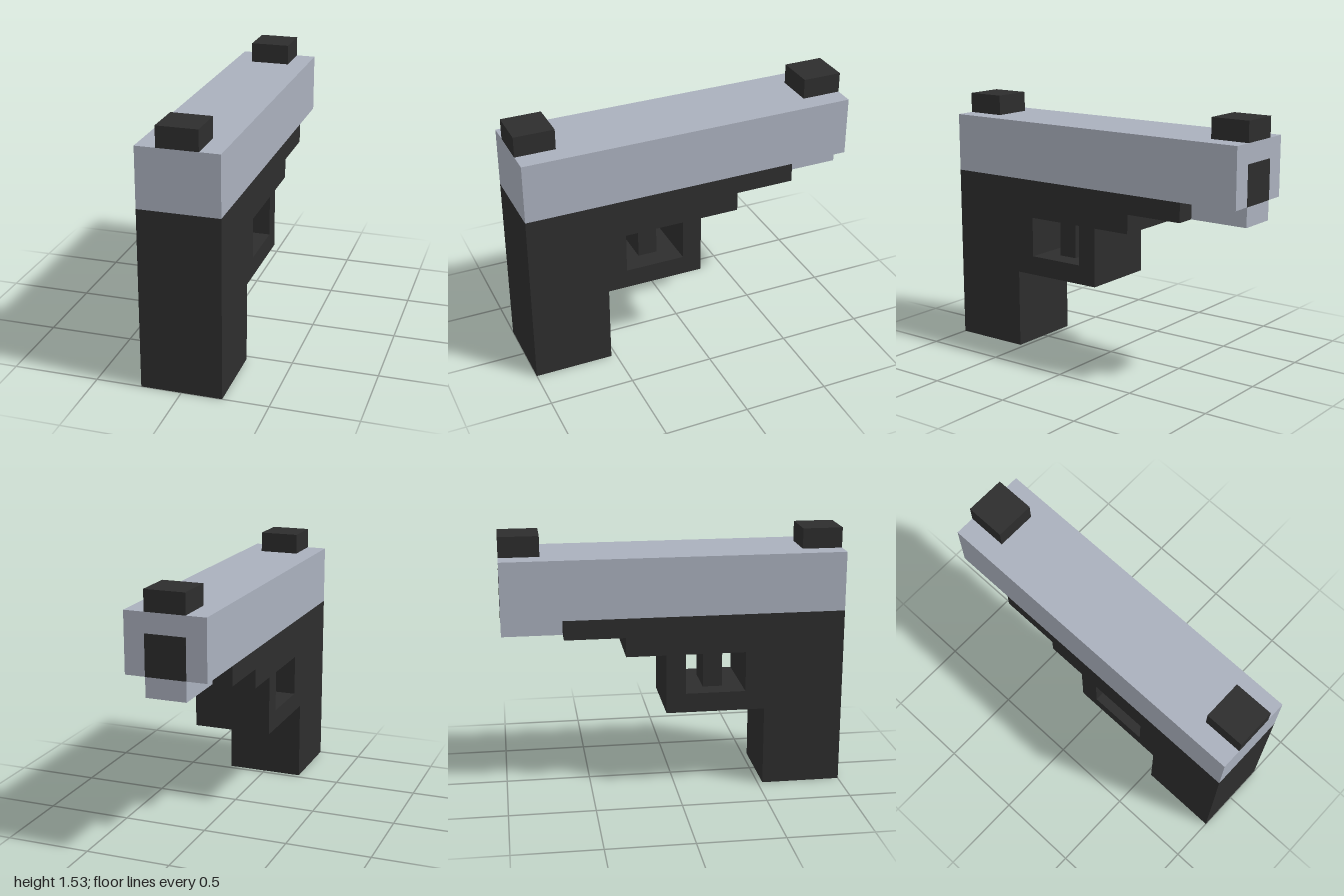
import * as THREE from 'three';

const HALF = 0.235; // half width of the body
const SLIM = 0.1175; // half width of the narrow parts

export function createModel() {
  const model = new THREE.Group();
  const black = new THREE.MeshStandardMaterial({ color: 0x2d2d2d });
  black.name = 'black';
  const grey = new THREE.MeshStandardMaterial({ color: 0xaab0bd });
  grey.name = 'steel grey';

  function add(name, geometry, material) {
    const mesh = new THREE.Mesh(geometry, material);
    mesh.name = name;
    model.add(mesh);
    return mesh;
  }

  // Box given by its half width in x and its limits in y and z
  function block(name, half, y0, y1, z0, z1, material) {
    const geometry = new THREE.BoxGeometry(half * 2, y1 - y0, z1 - z0);
    geometry.translate(0, (y0 + y1) / 2, (z0 + z1) / 2);
    return add(name, geometry, material);
  }

  const points = (list) => list.map(([z, y]) => new THREE.Vector2(z, y));

  // Frame: grip, stepped underside and trigger guard, drawn in (z, y)
  const profile = new THREE.Shape(points([
    [1, 0], [1, 1.06], [-0.645, 1.06], [-0.645, 0.945], [-0.29, 0.945],
    [-0.29, 0.83], [-0.055, 0.83], [-0.055, 0.475], [0.53, 0.475], [0.53, 0],
  ]));
  profile.holes.push(new THREE.Path(points([
    [0.06, 0.59], [0.415, 0.59], [0.415, 0.83], [0.06, 0.83],
  ])));
  const frame = new THREE.ExtrudeGeometry(profile, { depth: HALF * 2, bevelEnabled: false });
  frame.translate(0, 0, -HALF);
  frame.rotateY(-Math.PI / 2);
  add('frame', frame, black);

  block('trigger', SLIM, 0.59, 0.83, 0.18, 0.295, black);

  // Slide with the guide rod housing below its far end
  block('slide', HALF, 1.06, 1.41, -1, 1, grey);
  block('guideRodHousing', SLIM, 0.945, 1.06, -1, -0.645, grey);

  // Muzzle opening as a thin plate
  block('muzzle', SLIM, 1.06, 1.295, -1.002, -0.998, black);

  // Sights at both ends of the slide
  block('rearSight', SLIM, 1.41, 1.53, 0.765, 1, black);
  block('frontSight', SLIM, 1.41, 1.53, -1, -0.765, black);

  return model;
}
